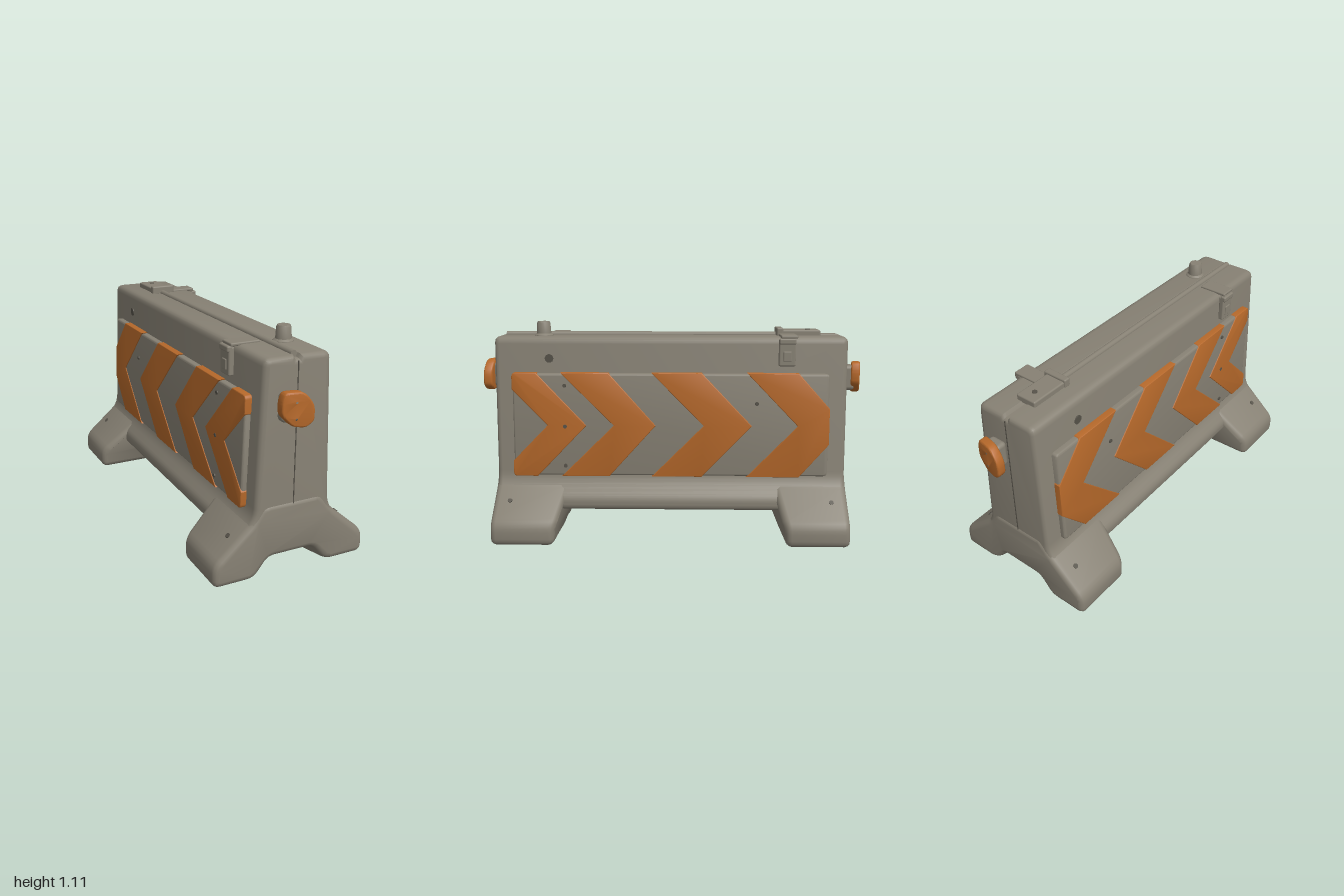
import * as THREE from 'three';
import { toCreasedNormals } from 'three/addons/utils/BufferGeometryUtils.js';
import { RoundedBoxGeometry } from 'three/addons/geometries/RoundedBoxGeometry.js';

const mat = (name, color) => Object.assign(new THREE.MeshStandardMaterial({ color }), { name });

// Polygon with rounded corners; each point is [x, y, radius]
function roundedShape(pts) {
  const shape = new THREE.Shape();
  const n = pts.length;
  pts.forEach(([x, y, r = 0], i) => {
    const corner = new THREE.Vector2(x, y);
    const toward = (q) => {
      const d = new THREE.Vector2(q[0], q[1]).sub(corner);
      return corner.clone().addScaledVector(d.normalize(), r);
    };
    const a = toward(pts[(i + n - 1) % n]);
    const b = toward(pts[(i + 1) % n]);
    if (i === 0) shape.moveTo(a.x, a.y); else shape.lineTo(a.x, a.y);
    if (r > 0) shape.quadraticCurveTo(x, y, b.x, b.y);
  });
  shape.closePath();
  return shape;
}

// Extrude between two depths with a rounded rim that stays inside the outline
function slab(shape, z0, z1, bevel, rule) {
  const geo = new THREE.ExtrudeGeometry(shape, {
    depth: z1 - z0 - 2 * bevel, curveSegments: 4, bevelEnabled: true,
    bevelSize: bevel, bevelThickness: bevel, bevelOffset: -bevel, bevelSegments: 3,
  });
  geo.translate(0, 0, z0 + bevel);
  if (rule) {
    const p = geo.attributes.position;
    const v = new THREE.Vector3();
    for (let i = 0; i < p.count; i++) {
      rule(v.fromBufferAttribute(p, i));
      p.setXYZ(i, v.x, v.y, v.z);
    }
  }
  return toCreasedNormals(geo, 0.65);
}

// Right half of a symmetric outline, completed by its mirror image
const mirrored = (half) => [...half, ...half.map(([x, y, r]) => [-x, y, r]).reverse()];

export function createModel() {
  const root = new THREE.Group();
  root.name = 'roadBarrier';
  const grey = mat('concreteGrey', 0x878174);
  const orange = mat('safetyOrange', 0xb5682a);
  const dark = mat('recessGrey', 0x57534a);

  const add = (name, geo, material, parent = root) => {
    const mesh = new THREE.Mesh(geo, material);
    mesh.name = name;
    parent.add(mesh);
    return mesh;
  };
  const box = (name, w, h, d, x, y, z, parent, r = 0.008) => {
    const m = add(name, new RoundedBoxGeometry(w, h, d, 2, r), grey, parent);
    m.position.set(x, y, z);
    return m;
  };

  // Tapered wall with a shallow groove along the top
  const wall = [
    [0.26, 0.15, 0.03], [0.26, 0.215, 0.025], [0.195, 0.295, 0.05],
    [0.165, 1.035, 0.035], [0.018, 1.035], [0.008, 1.018],
  ];
  add('wall', slab(roundedShape(mirrored(wall)), -0.9, 0.9, 0.025), grey);

  // Splayed feet, the arch between them narrowing inward
  const foot = [
    [0.12, 0.092, 0.03], [0.195, 0, 0.04], [0.4, 0, 0.035], [0.4, 0.11, 0.04],
    [0.205, 0.28, 0.03], [0.15, 0.36, 0.03],
  ];
  const footGeo = slab(roundedShape(mirrored(foot)), 0.585, 0.905, 0.028, (v) => {
    const t = (0.905 - v.z) / 0.32;
    const inward = THREE.MathUtils.clamp((0.4 - Math.abs(v.x)) / 0.14, 0, 1);
    v.z -= t * 0.05 * inward * THREE.MathUtils.clamp(v.y / 0.12, 0, 1);
    if (Math.abs(v.x) < 0.24 && v.y < 0.12) v.x *= 1 - 0.5 * t;
  });

  // Chevrons as [z, y] outlines
  const top = 0.855, bot = 0.32, mid = 0.585;
  const arrow = (back, backTip, front, frontTip) => [
    [back, top], [front, top], [frontTip, mid], [front, bot], [back, bot], [backTip, mid],
  ];
  const chevrons = [
    [[0.81, top, 0.02], [0.685, top], [0.43, mid], [0.685, bot], [0.81, bot, 0.02],
      [0.81, 0.4], [0.63, mid], [0.81, 0.77]],
    arrow(0.56, 0.29, 0.315, 0.075),
    arrow(0.096, -0.17, -0.16, -0.417),
    [[-0.39, top], [-0.65, top], [-0.81, 0.675], [-0.81, 0.49], [-0.66, bot],
      [-0.39, bot], [-0.65, mid]],
    // corner remnants keep the board edge closed
  ];
  const boardOutline = [[0.806, 0.851, 0.02], [-0.806, 0.851, 0.02],
    [-0.806, 0.324, 0.02], [0.806, 0.324, 0.02]];

  // Sign boards on both long sides, leaning with the wall
  for (const side of [1, -1]) {
    const board = new THREE.Group();
    board.name = side > 0 ? 'leftSignBoard' : 'rightSignBoard';
    board.rotation.y = side * Math.PI / 2;
    root.add(board);
    const lean = (v) => { v.z -= (v.y - mid) * 0.03; };
    const outline = (pts) => roundedShape(pts.map(([z, y, r]) => [-z * side, y, r]));
    add('boardBase', slab(outline(boardOutline), 0.15, 0.211, 0.01, lean), grey, board);
    chevrons.forEach((c) => add('chevron', slab(outline(c), 0.155, 0.215, 0.004, lean), orange, board));
  }

  // Reflector outline with two bolt holes
  const reflector = roundedShape([
    [-0.105, 0.9, 0.015], [-0.02, 0.902, 0.03], [0.03, 0.84, 0.03], [0.03, 0.765, 0.02],
    [-0.01, 0.737, 0.02], [-0.07, 0.748, 0.02], [-0.118, 0.8, 0.02], [-0.118, 0.86, 0.015],
  ]);
  for (const y of [0.855, 0.78]) {
    reflector.holes.push(new THREE.Path().absarc(-0.053, y, 0.014, 0, Math.PI * 2, true));
  }
  const reflectorGeo = slab(reflector, 0.94, 0.985, 0.008, (v) => { v.z += (v.x + 0.044) * 0.18; });

  // Everything that repeats when the barrier is turned half round
  for (const end of [1, -1]) {
    const g = new THREE.Group();
    g.name = end > 0 ? 'frontEnd' : 'backEnd';
    g.rotation.y = end > 0 ? 0 : Math.PI;
    root.add(g);
    add('feet', footGeo, grey, g);
    add('reflector', reflectorGeo, orange, g);
    box('reflectorMount', 0.09, 0.13, 0.06, -0.055, 0.82, 0.922, g, 0.02);
    const seam = add('endSeam', new THREE.BoxGeometry(0.005, 0.74, 0.004), dark, g);
    seam.position.set(0, 0.64, 0.9);
    // Clip folded over the top edge
    box('clipTop', 0.15, 0.016, 0.085, -0.115, 1.037, 0.6, g, 0.006);
    box('clipSide', 0.03, 0.135, 0.085, -0.18, 0.957, 0.59, g);
    box('clipLip', 0.03, 0.03, 0.085, -0.188, 1.015, 0.59, g);
    box('clipCatch', 0.012, 0.05, 0.04, -0.194, 0.94, 0.59, g, 0.004);
    // Lifting hole in the long side
    const hole = add('sideHole', new THREE.CylinderGeometry(0.022, 0.022, 0.008, 16), dark, g);
    hole.rotation.z = Math.PI / 2 - 0.045;
    hole.position.set(0.1695, 0.925, 0.62);
    // Drain holes on the feet
    for (const x of [0.29, -0.29]) {
      const drain = add('footHole', new THREE.CylinderGeometry(0.012, 0.012, 0.006, 10), dark, g);
      drain.rotation.z = -Math.sign(x) * 0.73;
      drain.position.set(x, 0.207, 0.82);
    }
  }

  // Small bolts on the left board
  for (const [z, y] of [[0.54, 0.79], [0.54, 0.58], [0.54, 0.375], [-0.44, 0.7]]) {
    for (const s of [1, -1]) {
      const bolt = add('boardBolt', new THREE.CylinderGeometry(0.01, 0.01, 0.008, 10), dark);
      bolt.rotation.z = Math.PI / 2;
      bolt.position.set(s * (0.213 - (y - mid) * 0.03), y, z);
    }
  }

  // Rod lying in the top groove
  const rod = add('topRod', new THREE.CylinderGeometry(0.016, 0.016, 1.43, 12), grey);
  rod.rotation.x = Math.PI / 2;
  rod.position.set(-0.008, 1.035, 0.155);

  // Latch plate at the end of the rod
  box('latchPlate', 0.11, 0.035, 0.22, -0.008, 1.045, -0.665);
  box('latchBar', 0.13, 0.045, 0.035, -0.005, 1.052, -0.565);
  const pin = add('latchPin', new THREE.CylinderGeometry(0.013, 0.013, 0.006, 12), dark);
  pin.position.set(-0.008, 1.0625, -0.715);

  // Peg with a flared foot
  const pegProfile = [[0.05, 1.025], [0.048, 1.038], [0.038, 1.046], [0.034, 1.1], [0.03, 1.108], [0, 1.108]];
  const peg = add('peg', toCreasedNormals(
    new THREE.LatheGeometry(pegProfile.map(([x, y]) => new THREE.Vector2(x, y)), 20), 0.6), grey);
  peg.position.set(0.068, 0, 0.66);

  return root;
}
